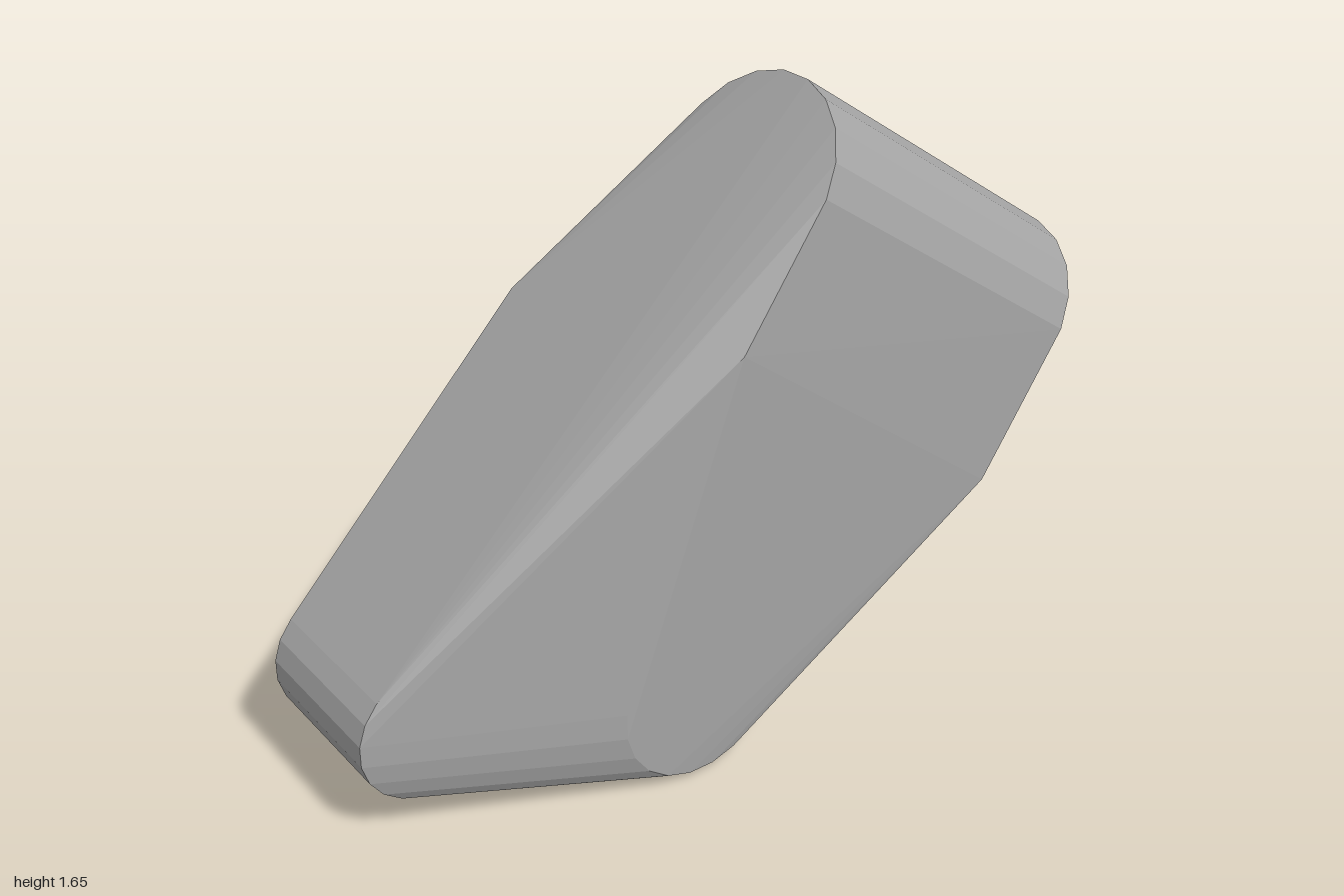
import * as THREE from 'three';
import { ConvexGeometry } from 'three/addons/geometries/ConvexGeometry.js';

// Points of a circle around centre c, spanned by unit vectors u and v
function ring(c, u, v, r, sides = 20) {
  const pts = [];
  for (let i = 0; i < sides; i++) {
    const a = ((i + 0.5) / sides) * Math.PI * 2;
    pts.push(c.clone().addScaledVector(u, r * Math.cos(a)).addScaledVector(v, r * Math.sin(a)));
  }
  return pts;
}

export function createModel() {
  const V = (x, y, z) => new THREE.Vector3(x, y, z);
  const X = V(1, 0, 0), Y = V(0, 1, 0), Z = V(0, 0, 1);
  const grey = new THREE.MeshStandardMaterial({ color: 0xa6a6a6, flatShading: true });

  // Slanted upper roll, square to its axis at both ends
  const up = V(0.567, 0.824, 0);
  const points = [
    ...ring(V(0.055, 1.43, 0.195), up, Z, 0.27),
    ...ring(V(0.845, 0.895, 0.195), up, Z, 0.27),
  ];

  // Rounded toe at the low side
  for (const z of [0.18, -0.24]) points.push(...ring(V(-0.82, 0.28, z), X, Y, 0.18));

  // Bottom roll with softened rims and a slightly domed back: [z, radius]
  for (const [z, r] of [[0.4, 0.22], [0.37, 0.24], [-0.425, 0.24], [-0.447, 0.225]]) {
    points.push(...ring(V(-0.2, 0.24, z), X, Y, r));
  }
  points.push(V(-0.2, 0.25, -0.467));

  // Corners of the slanted end face and of the upper slope
  points.push(
    V(0.63, 0.58, 0.463), V(0.54, 0.44, 0.3), V(0.57, 0.5, -0.2),
    V(-0.3, 1.1, -0.235), V(-0.14, 1.15, 0.463),
  );

  const body = new THREE.Mesh(new ConvexGeometry(points), grey);
  grey.name = 'grey';
  body.name = 'body';
  const model = new THREE.Group();
  model.name = 'facetedBlock';
  model.add(body);
  return model;
}
